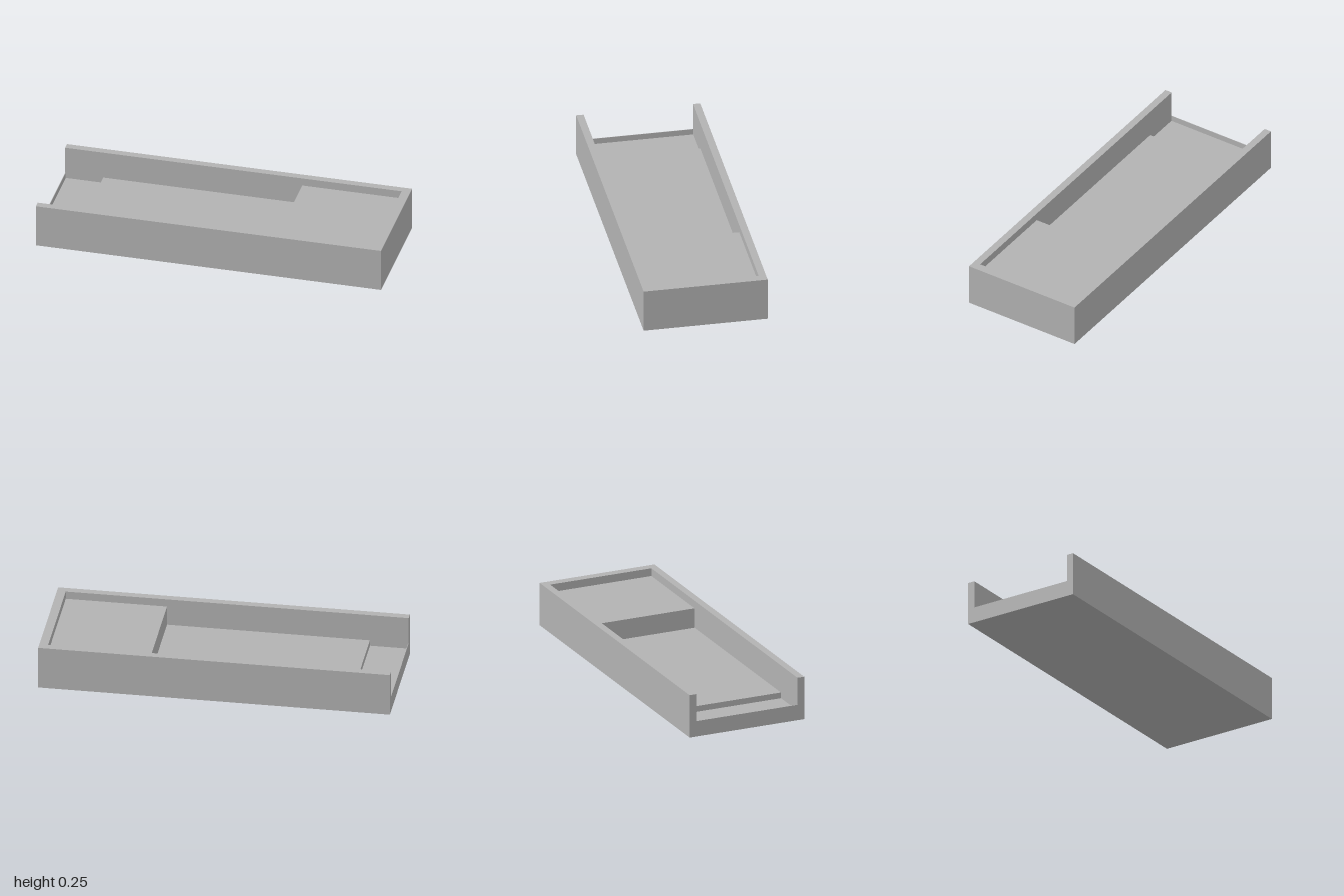
import * as THREE from 'three';

const HEIGHT = 0.254, HALF_LENGTH = 1, HALF_DEPTH = 0.355;
const INNER_X = 0.95, INNER_Z = 0.313;

const shapeOf = (points) => new THREE.Shape(points.map(([x, y]) => new THREE.Vector2(x, y)));
const extrude = (points, depth) =>
  new THREE.ExtrudeGeometry(shapeOf(points), { depth, bevelEnabled: false });

export function createModel() {
  const group = new THREE.Group();
  group.name = 'steppedTray';
  const grey = new THREE.MeshStandardMaterial({ color: 0xb2b2b2 });
  grey.name = 'grey';

  const add = (name, geometry) => {
    const mesh = new THREE.Mesh(geometry, grey);
    mesh.name = name;
    group.add(mesh);
  };

  // U-shaped outer wall, open at the -x end
  const wall = extrude([
    [-HALF_LENGTH, -HALF_DEPTH], [HALF_LENGTH, -HALF_DEPTH],
    [HALF_LENGTH, HALF_DEPTH], [-HALF_LENGTH, HALF_DEPTH],
    [-HALF_LENGTH, INNER_Z], [INNER_X, INNER_Z],
    [INNER_X, -INNER_Z], [-HALF_LENGTH, -INNER_Z],
  ], HEIGHT);
  wall.rotateX(-Math.PI / 2);
  add('outerWall', wall);

  // Stepped floor: thin end lip, shallow recess, middle platform, raised block
  const floor = extrude([
    [-HALF_LENGTH, 0], [INNER_X, 0], [INNER_X, 0.208], [0.374, 0.208],
    [0.374, 0.092], [-0.78, 0.092], [-0.78, 0.058],
    [-0.997, 0.058], [-0.997, 0.092], [-HALF_LENGTH, 0.092],
  ], INNER_Z * 2);
  floor.translate(0, 0, -INNER_Z);
  add('steppedFloor', floor);

  return group;
}
